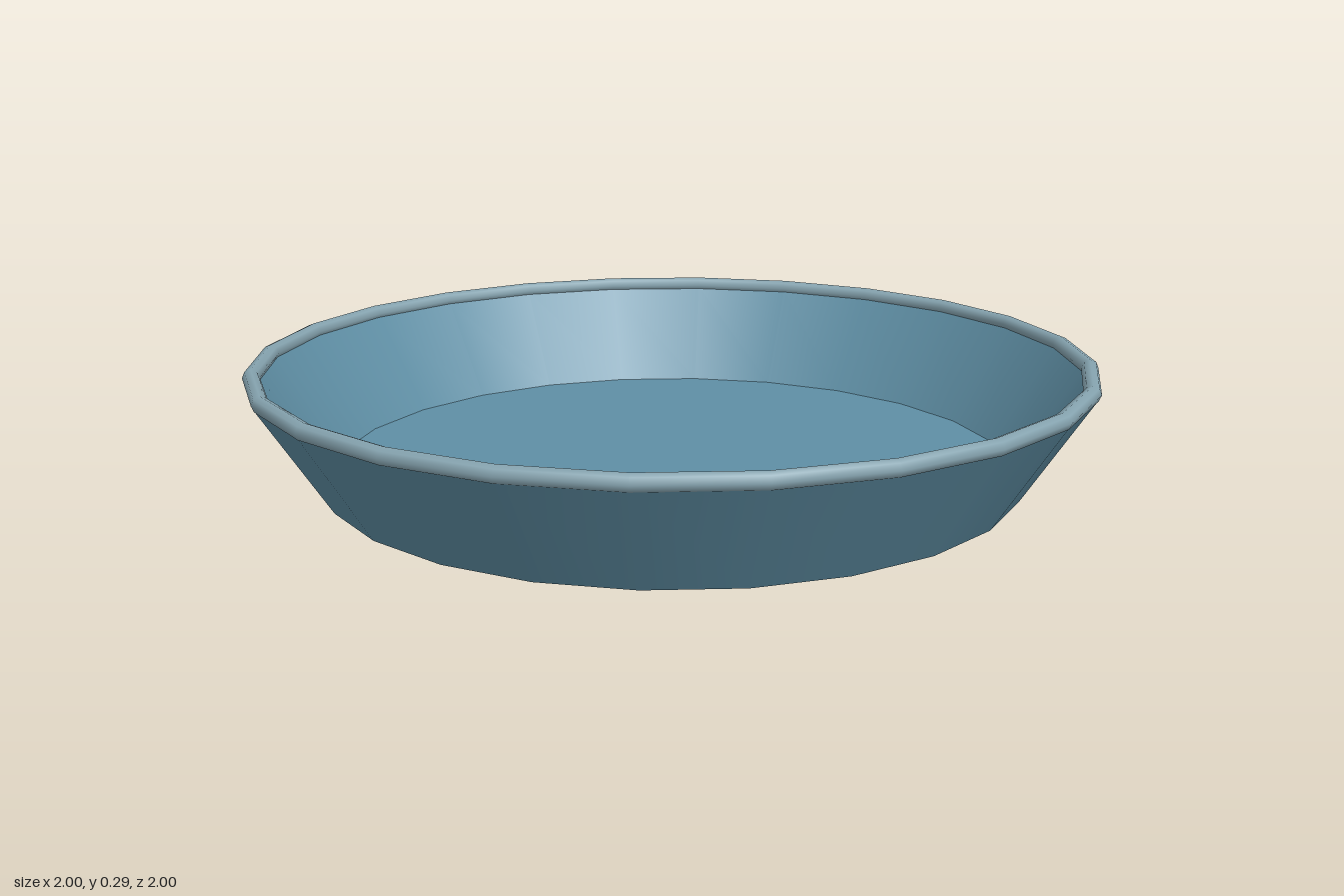
import * as THREE from 'three';

const SIDES = 24;

export function createModel() {
  const model = new THREE.Group();
  model.name = 'roundDish';
  const body = new THREE.MeshStandardMaterial({ color: 0x5f8fa5 });
  const rimPaint = new THREE.MeshStandardMaterial({ color: 0x86a4b0 });

  const add = (name, geometry, material) => {
    const mesh = new THREE.Mesh(geometry, material);
    mesh.name = name;
    model.add(mesh);
    return mesh;
  };

  // One straight profile piece per surface keeps the corners sharp
  const ring = (name, r0, y0, r1, y1) => add(name, new THREE.LatheGeometry(
    [new THREE.Vector2(r0, y0), new THREE.Vector2(r1, y1)], SIDES), body);

  ring('base', 0, 0, 0.832, 0);
  ring('outerWall', 0.832, 0, 0.996, 0.257);
  ring('innerWall', 0.968, 0.262, 0.815, 0.02);
  ring('floor', 0.815, 0.02, 0, 0.02);

  // Rolled rim
  const rim = add('rim', new THREE.TorusGeometry(0.98, 0.02, 8, SIDES), rimPaint);
  rim.rotation.x = -Math.PI / 2;
  rim.position.y = 0.266;

  return model;
}
